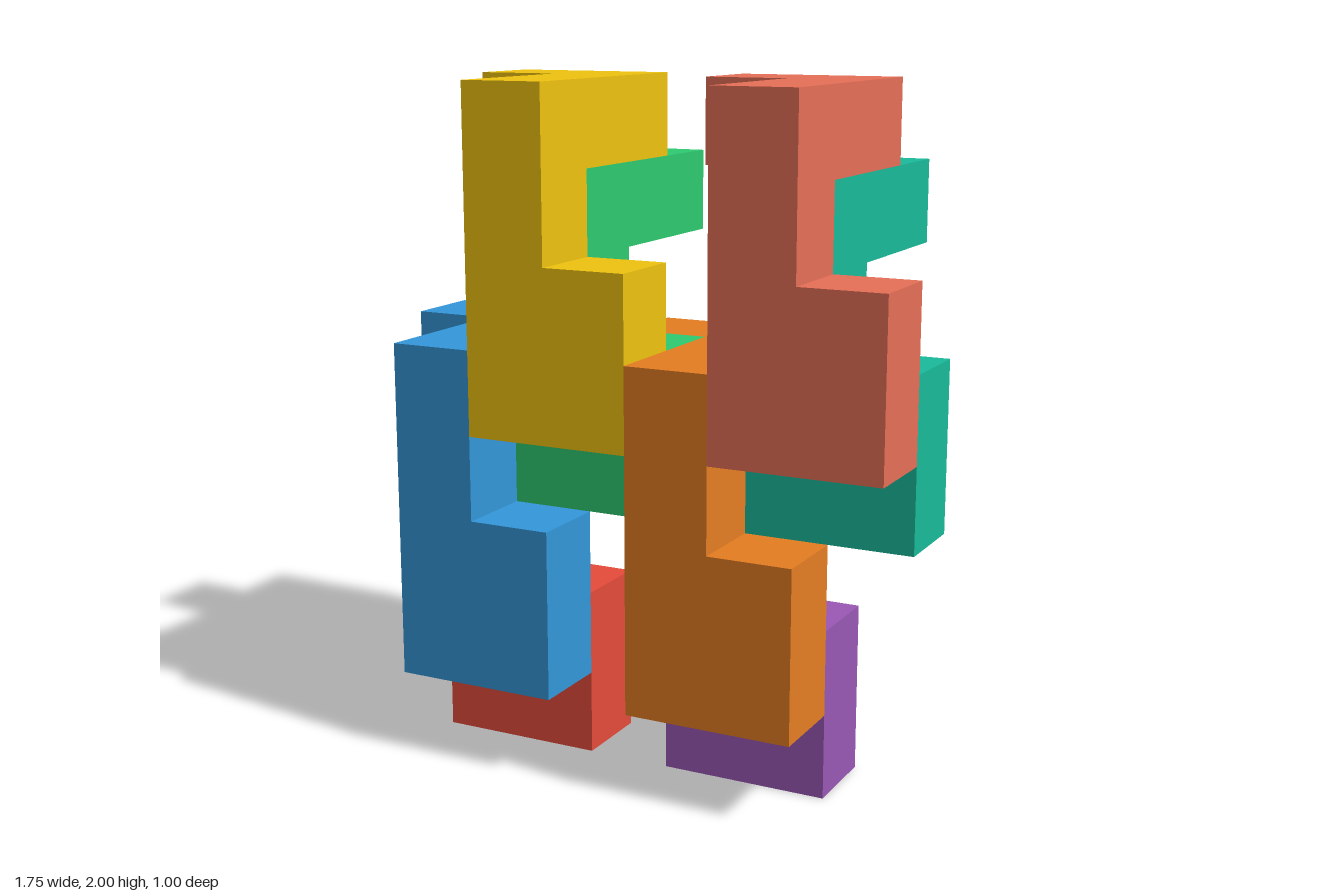
import * as THREE from 'three';

const U = 0.25; // edge of one cube cell

// Prism of one cell depth from an outline given in cells
function prism(outline) {
  const shape = new THREE.Shape(outline.map(([x, y]) => new THREE.Vector2(x * U, y * U)));
  return new THREE.ExtrudeGeometry(shape, { depth: U, bevelEnabled: false });
}

// One puzzle piece: an upright column with a two-cell foot, and a hooked arm running back from its top
function createPiece(name, color) {
  const piece = new THREE.Group();
  piece.name = name;
  const material = new THREE.MeshStandardMaterial({ color });

  const upright = new THREE.Mesh(prism([[0, 0], [2, 0], [2, 2], [1, 2], [1, 4], [0, 4]]), material);
  upright.name = 'upright';

  // Outline lies flat: its second axis points backwards (-z)
  const armGeometry = prism([[0, 0], [1, 0], [1, 2], [-1, 2], [-1, 1], [0, 1]]);
  armGeometry.rotateX(-Math.PI / 2);
  const arm = new THREE.Mesh(armGeometry, material);
  arm.name = 'hookedArm';
  arm.position.y = 3 * U;

  piece.add(upright, arm);
  return piece;
}

export function createModel() {
  const model = new THREE.Group();
  model.name = 'interlockingPuzzle';

  // Column corner in x and y for each front piece, with its back twin one cell lower and behind
  const pairs = [
    { x: -0.625, y: 0.25, front: ['bluePiece', 0x3498db], back: ['redPiece', 0xe74c3c] },
    { x: 0.125, y: 0.25, front: ['orangePiece', 0xe67e22], back: ['purplePiece', 0x9b59b6] },
    { x: -0.375, y: 1, front: ['yellowPiece', 0xf1c40f], back: ['greenPiece', 0x2ecc71] },
    { x: 0.375, y: 1, front: ['coralPiece', 0xe87058], back: ['tealPiece', 0x1abc9c] },
  ];

  for (const { x, y, front, back } of pairs) {
    const frontPiece = createPiece(...front);
    frontPiece.position.set(x, y, U);
    const backPiece = createPiece(...back);
    backPiece.position.set(x, y - U, 0);
    model.add(frontPiece, backPiece);
  }
  return model;
}
